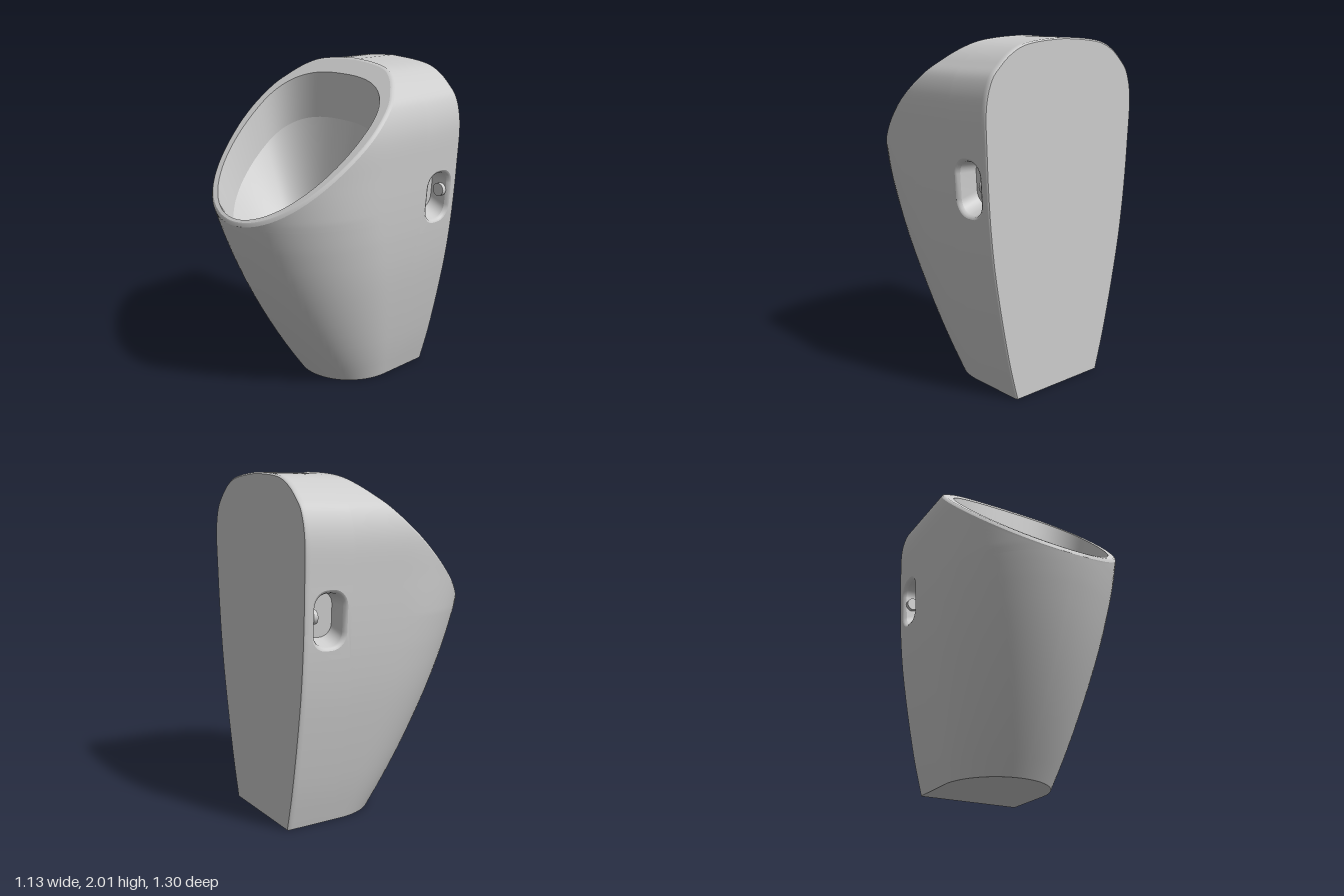
import * as THREE from 'three';

const V3 = THREE.Vector3, V2 = THREE.Vector2;
const BACK = -0.65, LIP = 1.151, SLOPE = 0.874;

// Half silhouette seen from the front: (half width, height)
const silhouette = new THREE.SplineCurve([
  [0.33, 0], [0.385, 0.2], [0.43, 0.4], [0.47, 0.6], [0.505, 0.8], [0.53, 1.0], [0.547, 1.2], [0.558, 1.4],
  [0.565, 1.64], [0.53, 1.79], [0.465, 1.87], [0.39, 1.93], [0.3, 1.97], [0.17, 1.99], [0, 2],
].map(([x, y]) => new V2(x, y)));

function halfWidth(y) {
  let a = 0, b = 1;
  for (let i = 0; i < 40; i++) {
    const m = (a + b) / 2;
    if (silhouette.getPoint(m).y < y) a = m; else b = m;
  }
  return silhouette.getPoint(a).x;
}
const frontZ = y => 0.045 + 0.72 * y - 0.17 * y * y;
const rimY = z => 2 - SLOPE * (z + 0.3);           // slanted rim plane
const cutZ = y => (1.98 - y) / SLOPE - 0.3;        // where the shell stops, just below it

// Surface through rows of points; skip(i, j) leaves a cell open
function loft(rows, closed = false, skip = () => false) {
  const n = rows[0].length, index = [];
  for (let i = 0; i < rows.length - 1; i++) {
    for (let j = 0; j < (closed ? n : n - 1); j++) {
      if (skip(i, j)) continue;
      const k = (j + 1) % n, a = i * n + j, b = i * n + k, c = a + n, d = b + n;
      index.push(a, c, b, b, c, d);
    }
  }
  const g = new THREE.BufferGeometry().setFromPoints(rows.flat());
  g.setIndex(index);
  g.computeVertexNormals();
  return g;
}

// Flat outline with an optional hole, placed in space by a rule
function sheet(outline, place, hole) {
  const shape = new THREE.Shape(outline);
  if (hole) shape.holes.push(new THREE.Path(hole));
  const g = new THREE.ShapeGeometry(shape), p = g.attributes.position;
  for (let i = 0; i < p.count; i++) p.setXYZ(i, ...place(p.getX(i), p.getY(i)));
  g.computeVertexNormals();
  return g;
}

// Plan outline of the basin: elliptical front, squarer back
function basinOutline(cz, a, front, back) {
  const pts = [];
  for (let i = 0; i < 80; i++) {
    const t = i / 80 * Math.PI * 2, c = Math.cos(t), s = Math.sin(t);
    const e = s > 0 ? 1 : 2 / 2.6;
    pts.push(new V2(a * Math.sign(c) * Math.abs(c) ** e, cz + (s > 0 ? front : back) * Math.sign(s) * Math.abs(s) ** e));
  }
  return pts;
}

// Rounded rectangle in (z, y)
function slot(a, b, cy) {
  const pts = [], r = a * 0.85;
  for (let k = 0; k < 4; k++) {
    const sx = k === 0 || k === 3 ? 1 : -1, sy = k < 2 ? 1 : -1;
    for (let i = 0; i <= 7; i++) {
      const t = (k + i / 7) * Math.PI / 2;
      pts.push(new V2(-0.495 + sx * (a - r) + r * Math.cos(t), cy + sy * (b - r) + r * Math.sin(t)));
    }
  }
  return pts;
}

// One horizontal half section of the shell, from back corner to front or rim
function section({ x: w, y }) {
  const c = -0.3 + 0.3 * Math.min(1, y / 1.2), d = frontZ(y) - c, end = cutZ(y);
  const theta = y <= LIP + 1e-6 ? Math.PI / 2 : Math.asin(Math.min(1, Math.max(0, (end - c) / d)));
  const straight = Math.min(c, end) + 0.36, arc = theta * (w + d) / 2;
  const row = [
    new V3(Math.max(0, w - 0.008), y - 0.008 * (y / 2) ** 8, BACK),
    new V3(w, y, -0.642), new V3(w, y, -0.62), new V3(w, y, -0.36),
  ];
  for (let i = 1; i <= 32; i++) {
    const s = i / 32 * (straight + arc);
    if (s <= straight || arc === 0) row.push(new V3(w, y, -0.36 + s));
    else {
      const t = (s - straight) / arc * theta;
      row.push(new V3(w * Math.cos(t), y, c + d * Math.sin(t)));
    }
  }
  return row;
}

export function createModel() {
  const model = new THREE.Group();
  model.name = 'urinal';
  const ceramic = new THREE.MeshStandardMaterial({ color: 0xcccccc, side: THREE.DoubleSide });
  ceramic.name = 'ceramic grey';
  const add = (name, geometry, parent = model) => {
    const m = new THREE.Mesh(geometry, ceramic);
    m.name = name;
    parent.add(m);
    return m;
  };

  // Row heights, closer together where the rim starts
  const heights = [];
  for (let i = 0; i <= 10; i++) heights.push(i / 10);
  heights.push(1.05, 1.1);
  for (let i = 0; i <= 14; i++) heights.push(LIP + (1.4 - LIP) * (i / 14) ** 2);
  const stations = heights.map(y => new V2(halfWidth(y), y));
  for (let i = 1; i <= 42; i++) stations.push(silhouette.getPoint((7 + i / 6) / 14));
  const rows = stations.map(section);

  // Half shell with an opening for the side recess
  const inPatch = i => stations[i].y > 0.999 && stations[i].y < 1.401;
  const shell = loft(rows, false, (i, j) => j === 2 && inPatch(i) && inPatch(i + 1));
  const pos = shell.attributes.position, nor = shell.attributes.normal;
  for (let i = 0; i < pos.count; i++) {
    if (Math.abs(pos.getX(i)) > 1e-4) continue;
    const n = new V3(0, nor.getY(i), nor.getZ(i)).normalize();
    nor.setXYZ(i, n.x, n.y, n.z);
  }

  // Panel around the recess, and the recess itself
  const patchY = stations.filter((s, i) => inPatch(i)).map(s => s.y);
  const border = [...patchY.map(y => new V2(-0.36, y)), ...patchY.slice().reverse().map(y => new V2(-0.62, y))];
  const panel = sheet(border, (z, y) => [halfWidth(y), y, z], slot(0.11, 0.165, 1.215));
  const ring = (a, b, cy, depth) => slot(a, b, cy).map(p => new V3(halfWidth(p.y) - depth, p.y, p.x));
  const edge = loft([ring(0.11, 0.165, 1.215, 0), ring(0.098, 0.153, 1.215, 0.006), ring(0.09, 0.146, 1.215, 0.022)], true);
  const walls = loft([ring(0.09, 0.146, 1.215, 0.022), ring(0.086, 0.126, 1.233, 0.13)], true);
  const floor = sheet(slot(0.086, 0.126, 1.233), (z, y) => [halfWidth(y) - 0.13, y, z]);

  for (const side of [1, -1]) {
    const half = new THREE.Group();
    half.name = side > 0 ? 'leftSide' : 'rightSide';
    half.scale.x = side;
    add('shell', shell, half);
    add('recessPanel', panel, half);
    add('recessEdge', edge, half);
    add('recessWall', walls, half);
    add('recessFloor', floor, half);
    const bolt = add('bolt', new THREE.CylinderGeometry(0.04, 0.04, 0.03, 24), half);
    bolt.rotation.x = Math.PI / 2;
    bolt.position.set(0.49, 1.235, -0.573);
    model.add(half);
  }

  // Flat back and underside
  const mirrored = pts => [...pts, ...pts.slice().reverse().map(p => new V2(-p.x, p.y))];
  add('backPlate', sheet(mirrored(rows.map(r => new V2(r[0].x, r[0].y))).reverse(), (x, y) => [x, y, BACK])).geometry.scale(1, 1, 1);
  add('underside', sheet(mirrored(rows[0].map(p => new V2(p.x, p.z))), (x, z) => [x, 0, z]));

  // Slanted rim with a softened outer edge
  const halfEdge = rows.filter((r, i) => stations[i].y >= LIP - 1e-6).map(r => r[r.length - 1]);
  const outer = [...halfEdge, ...halfEdge.slice(1, -1).reverse().map(p => new V3(-p.x, p.y, p.z))];
  const inset = k => outer.map(p => new V2(p.x * k, 0.48 + (p.z - 0.48) * k));
  const onRim = (pts, drop) => pts.map(p => new V3(p.x, rimY(p.y) - drop, p.y));
  const rimOutline = inset(0.968);
  add('rimEdge', loft([outer, onRim(inset(0.988), 0.005), onRim(rimOutline, 0)], true));
  const mouth = basinOutline(0.1, 0.49, 0.53, 0.31);
  add('rim', sheet(rimOutline, (x, z) => [x, rimY(z), z], mouth));

  // Inner wall, then the bowl falling to the drain
  const crease = onRim(basinOutline(0.05, 0.47, 0.47, 0.26), 0.28);
  add('innerWall', loft([onRim(mouth, 0), crease], true));
  const drainY = 0.8, drainZ = 0.08, bowl = [];
  for (let i = 0; i <= 16; i++) {
    const s = i / 16;
    bowl.push(crease.map((p, j) => {
      const t = j / 80 * Math.PI * 2;
      const x = 0.08 * Math.cos(t), z = drainZ + 0.08 * Math.sin(t);
      return new V3(x + (p.x - x) * s, drainY + (p.y - drainY) * s ** 1.3, z + (p.z - z) * s);
    }));
  }
  add('bowl', loft(bowl, true));
  const drain = add('drain', new THREE.CircleGeometry(0.08, 40));
  drain.rotation.x = -Math.PI / 2;
  drain.position.set(0, drainY, drainZ);

  return model;
}
